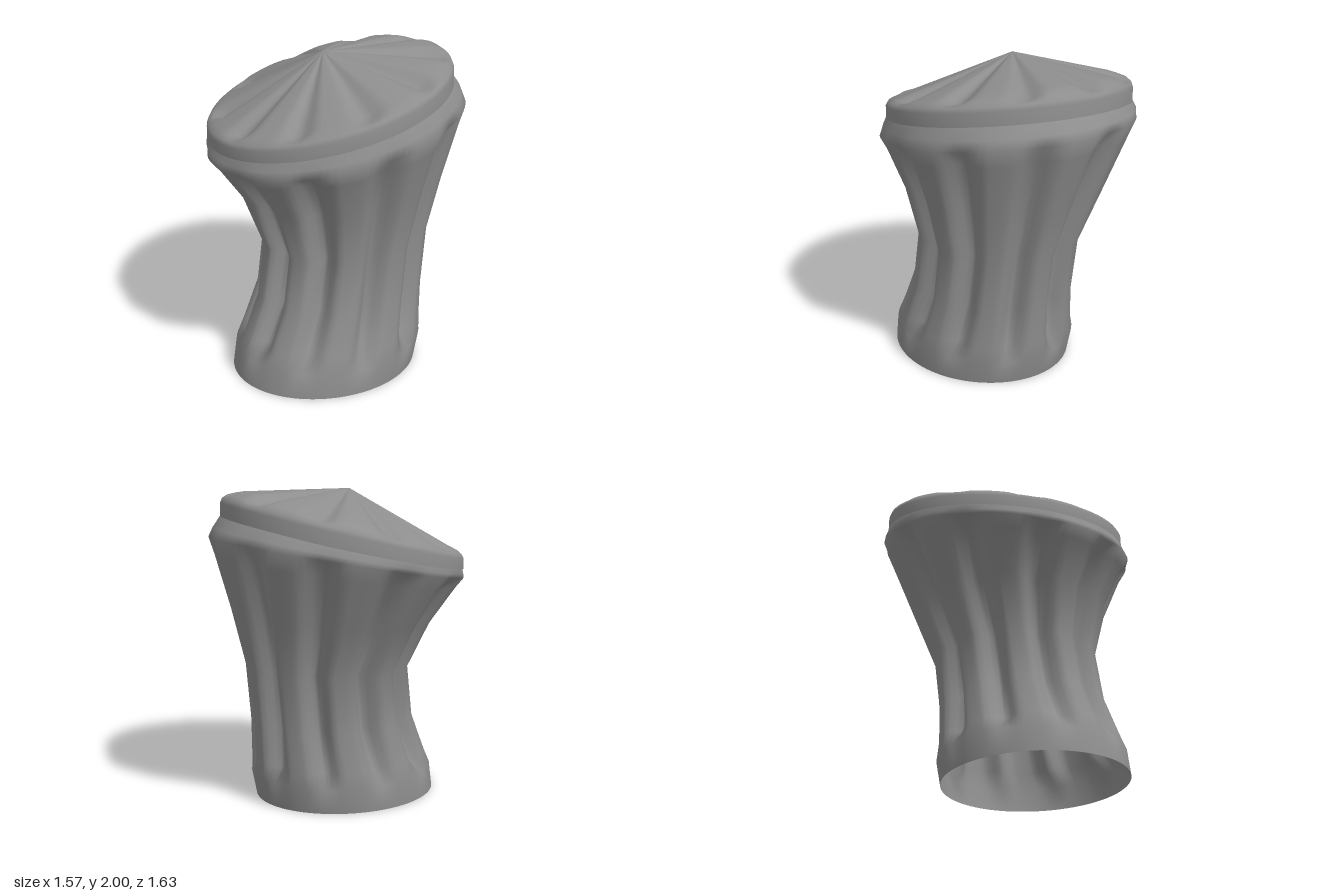
import * as THREE from 'three';

const SEG = 120;      // 12 columns per flute
const FLUTES = 10;
const material = new THREE.MeshStandardMaterial({ color: 0x8e8e8e, side: THREE.DoubleSide });

// Groove strength (0..1) at an angle; width is the half width as a share of the flute spacing
function groove(angle, phase, width) {
  const u = (angle - phase) / (Math.PI * 2) * FLUTES;
  const d = Math.abs(u - Math.round(u)) / width;
  return d < 1 ? 0.5 + 0.5 * Math.cos(Math.PI * d) : 0;
}

// Skin a stack of tilted oval rings, bottom to top; each ring is
// { y, c: [cx, cz], r: [rx, rz], tilt: [x, z], depth, phase }
function loft(name, rings, carve, apex) {
  const pos = [], idx = [];
  for (const ring of rings) {
    for (let j = 0; j < SEG; j++) {
      const a = j / SEG * Math.PI * 2;
      const { inward, down } = carve(a, ring);
      const s = Math.sin(a), c = Math.cos(a);
      pos.push(
        ring.c[0] + (ring.r[0] - inward) * s,
        ring.y + ring.tilt[0] * s + ring.tilt[1] * c - down,
        ring.c[1] + (ring.r[1] - inward) * c);
    }
  }
  for (let i = 0; i < rings.length - 1; i++) {
    for (let j = 0; j < SEG; j++) {
      const k = (j + 1) % SEG;
      const a = i * SEG + j, b = i * SEG + k, d = a + SEG, e = b + SEG;
      idx.push(a, b, e, a, e, d);
    }
  }
  // Close the top to a single point
  if (apex) {
    const top = (rings.length - 1) * SEG, tip = rings.length * SEG;
    pos.push(...apex);
    for (let j = 0; j < SEG; j++) idx.push(top + j, top + (j + 1) % SEG, tip);
  }
  const geometry = new THREE.BufferGeometry();
  geometry.setAttribute('position', new THREE.Float32BufferAttribute(pos, 3));
  geometry.setIndex(idx);
  geometry.computeVertexNormals();
  const mesh = new THREE.Mesh(geometry, material);
  mesh.name = name;
  return mesh;
}

const ring = (y, cx, cz, rx, rz, tx = 0, tz = 0, depth = 0, phase = 0.12) =>
  ({ y, c: [cx, cz], r: [rx, rz], tilt: [tx, tz], depth, phase });

export function createModel() {
  const group = new THREE.Group();
  group.name = 'flutedKnob';

  // Open-bottomed shaft with a plain foot band and a flared, tilted head
  const shaft = [
    ring(0, 0.10, 0.157, 0.54, 0.61),
    ring(0.16, 0.10, 0.125, 0.545, 0.615),
    ring(0.26, 0.10, 0.10, 0.525, 0.595, 0, 0, 0.075, 0.14),
    ring(0.51, 0.10, 0.04, 0.49, 0.55, 0, 0, 0.095, 0.13),
    ring(0.86, 0.09, -0.01, 0.49, 0.545, 0, -0.02, 0.095, 0.12),
    ring(1.19, 0.045, -0.015, 0.615, 0.645, 0.015, -0.04, 0.095, 0.12),
    ring(1.48, 0.01, -0.005, 0.74, 0.775, 0.026, -0.12, 0.08, 0.13),
    ring(1.565, 0.003, 0.0, 0.782, 0.818, 0.03, -0.15, 0.015, 0.13),
    ring(1.61, -0.01, 0.005, 0.772, 0.795, 0.05, -0.155),
    ring(1.665, -0.022, 0.018, 0.752, 0.762, 0.065, -0.16),
  ];
  group.add(loft('flutedShaft', shaft, (a, r) => ({
    inward: r.depth * groove(a, r.phase, 0.33), down: 0,
  })));

  // Cap: rim band, rounded shoulder and a shallow off-centre cone
  const apex = [-0.07, 2.0, 0.04];
  const cap = [
    ring(1.655, -0.025, 0.02, 0.758, 0.765, 0.065, -0.16),
    ring(1.735, -0.026, 0.022, 0.758, 0.762, 0.07, -0.174),
    ring(1.762, -0.028, 0.02, 0.745, 0.75, 0.07, -0.176),
    ring(1.786, -0.03, 0.018, 0.715, 0.72, 0.067, -0.174, 0.015),
    ring(1.806, -0.03, 0.015, 0.66, 0.67, 0.06, -0.17, 0.045),
    ring(1.823, -0.03, 0.015, 0.61, 0.625, 0.054, -0.162, 0.05),
  ];
  // Rings running from the shoulder up to the apex, grooves fading out
  const shoulder = cap[cap.length - 1];
  for (const t of [0.25, 0.5, 0.75, 0.92]) {
    const s = 1 - t, mix = (p, q) => p * s + q * t;
    cap.push(ring(
      mix(shoulder.y, apex[1]), mix(shoulder.c[0], apex[0]), mix(shoulder.c[1], apex[2]),
      shoulder.r[0] * s, shoulder.r[1] * s, shoulder.tilt[0] * s, shoulder.tilt[1] * s,
      shoulder.depth * s));
  }
  group.add(loft('groovedCap', cap, (a, r) => ({
    inward: 0, down: r.depth * groove(a, 0.05, 0.3),
  }), apex));

  return group;
}
